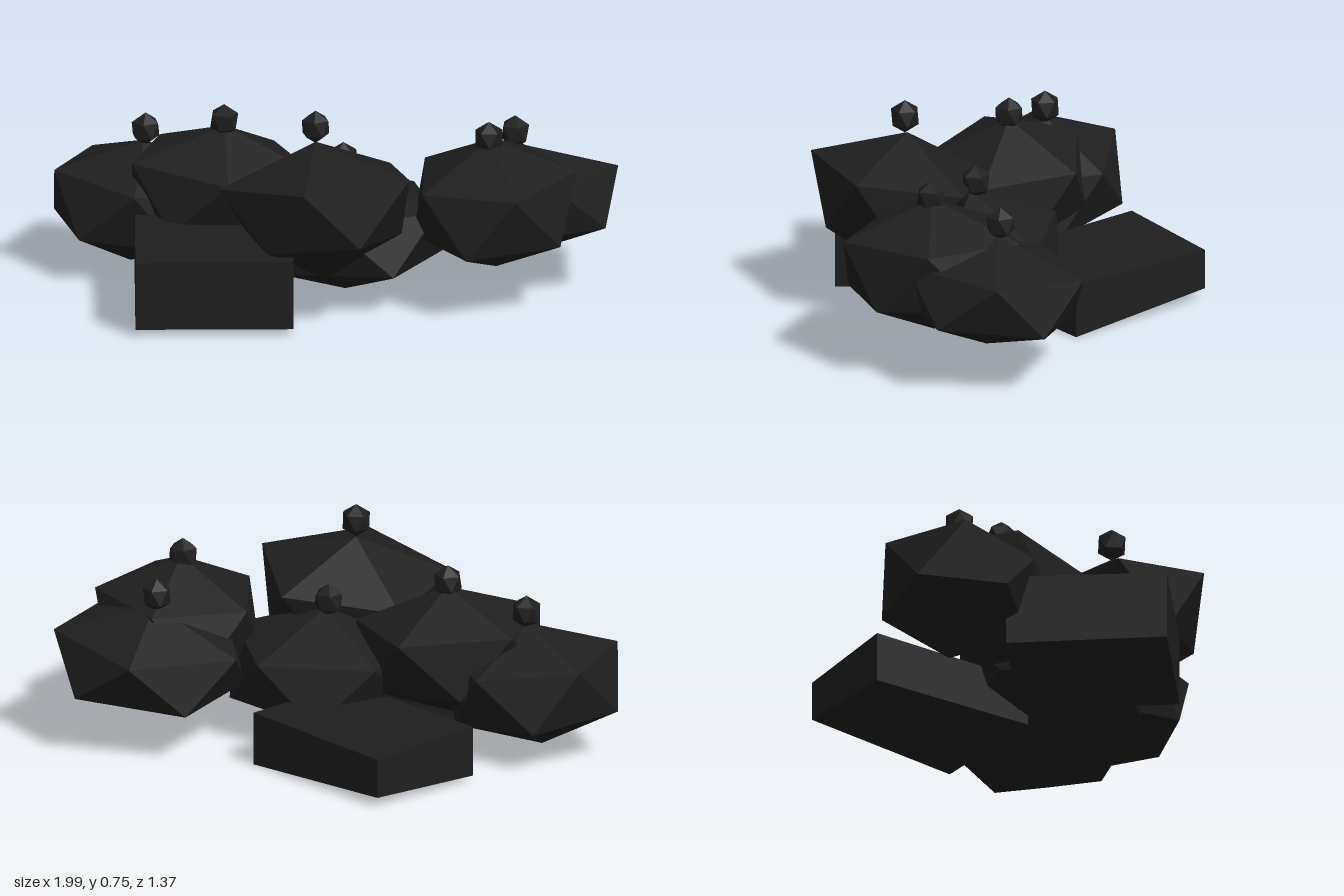
import * as THREE from 'three';

const rock = new THREE.MeshStandardMaterial({ color: 0x1e1e1e, flatShading: true });
rock.name = 'charcoal black';

// Twenty-sided stone standing on a corner: size is [x, y, z] radii,
// taper narrows its lower half
function stone(name, size, yawDeg, taper = 1) {
  const g = new THREE.IcosahedronGeometry(1, 0);
  g.rotateZ(-Math.atan(2 / (1 + Math.sqrt(5)))); // bring one corner to the top
  g.rotateY(-THREE.MathUtils.degToRad(yawDeg));
  g.scale(...size);
  const p = g.attributes.position;
  for (let i = 0; i < p.count; i++) {
    if (p.getY(i) < 0) p.setXYZ(i, p.getX(i) * taper, p.getY(i), p.getZ(i) * taper);
  }
  g.computeVertexNormals();
  const mesh = new THREE.Mesh(g, rock);
  mesh.name = name;
  return mesh;
}

// Uneven block: four plan corners [x, z, bottom, top] in order round the plan
function block(name, corners) {
  const g = new THREE.BoxGeometry(1, 1, 1);
  const p = g.attributes.position;
  for (let i = 0; i < p.count; i++) {
    const right = p.getX(i) > 0, front = p.getZ(i) > 0;
    const [x, z, low, high] = corners[front ? (right ? 1 : 0) : (right ? 2 : 3)];
    p.setXYZ(i, x, p.getY(i) > 0 ? high : low, z);
  }
  g.computeVertexNormals();
  const mesh = new THREE.Mesh(g, rock);
  mesh.name = name;
  return mesh;
}

// centre, radii, yaw, lower taper, slopes along x and z, and pebble position
const LUMPS = [
  { name: 'frontLump', at: [-0.008, 0.385, 0.383], size: [0.4, 0.245, 0.365], yaw: 22, taper: 0.78, slope: [0.09, 0.15], pebble: [-0.03, 0.685, 0.355] },
  { name: 'middleLump', at: [0.055, 0.23, 0.12], size: [0.395, 0.22, 0.38], yaw: 20, taper: 0.98, slope: [0, 0.05], pebble: [0.045, 0.48, 0.095] },
  { name: 'innerRightLump', at: [-0.395, 0.333, 0.033], size: [0.382, 0.235, 0.325], yaw: 10, taper: 0.91, slope: [-0.07, 0], pebble: [-0.38, 0.586, 0.033] },
  { name: 'outerRightLump', at: [-0.695, 0.25, -0.058], size: [0.35, 0.225, 0.308], yaw: 17, taper: 0.97, slope: [-0.11, 0], pebble: [-0.665, 0.515, -0.057] },
  { name: 'frontLeftLump', at: [0.58, 0.36, 0.175], size: [0.332, 0.238, 0.365], yaw: -4, taper: 0.98, slope: [0.04, -0.02], pebble: [0.565, 0.602, 0.185] },
  { name: 'backLeftLump', at: [0.66, 0.303, -0.043], size: [0.388, 0.198, 0.365], yaw: -9, taper: 0.98, slope: [0.08, 0.09], pebble: [0.635, 0.54, -0.07] },
];

export function createModel() {
  const model = new THREE.Group();
  model.name = 'rockPile';

  // Lumps, each topped with a small pebble
  LUMPS.forEach((l, i) => {
    const lump = stone(l.name, l.size, l.yaw, l.taper);
    lump.position.set(...l.at);
    lump.rotation.set(-l.slope[1], 0, l.slope[0]);
    const pebble = stone(l.name + 'Pebble', [0.055, 0.06, 0.055], 18 + i * 25);
    pebble.position.set(...l.pebble);
    model.add(lump, pebble);
  });

  // Blocks the pile rests on
  model.add(block('frontBlock', [
    [-0.635, 0.68, 0.025, 0.272], [-0.085, 0.61, 0.02, 0.27],
    [-0.14, 0.04, 0.03, 0.28], [-0.688, 0.115, 0.03, 0.287],
  ]));
  model.add(block('backBlock', [
    [-0.505, -0.385, 0.018, 0.2], [-0.03, 0.055, 0.02, 0.19],
    [0.275, -0.29, 0, 0.193], [-0.195, -0.685, 0.035, 0.177],
  ]));
  return model;
}
